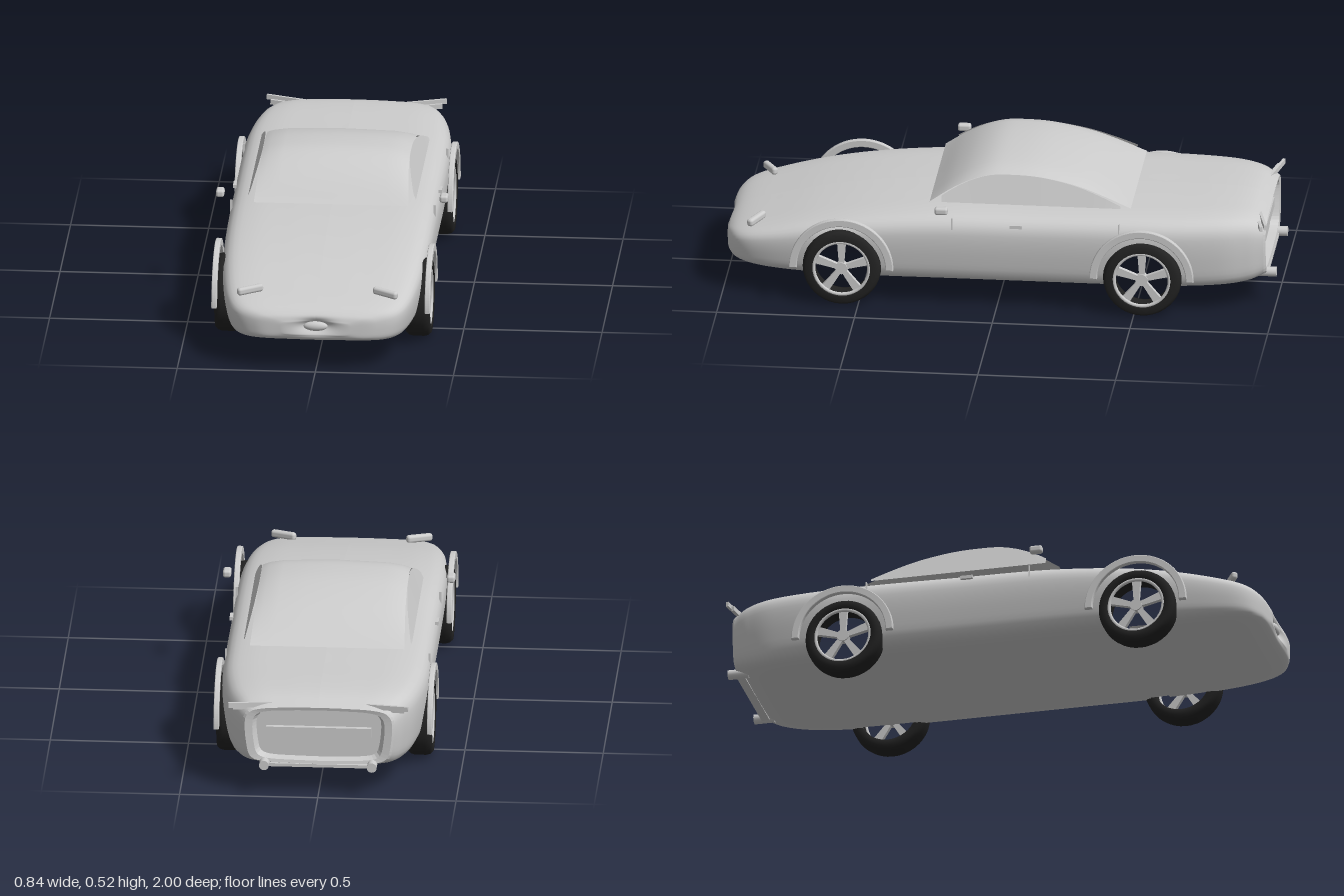
import * as THREE from 'three';
import { RoundedBoxGeometry } from 'three/addons/geometries/RoundedBoxGeometry.js';

const WHEEL_Z = [0.56, -0.53], WHEEL_Y = 0.142;

// Skin a list of equal-length point rows; skip() leaves out quads by their centre
function skin(rows, skip) {
  const n = rows[0].length, pos = rows.flat().flatMap(p => [p.x, p.y, p.z]), idx = [];
  const mid = new THREE.Vector3();
  for (let i = 0; i < rows.length - 1; i++) for (let j = 0; j < n - 1; j++) {
    mid.copy(rows[i][j]).add(rows[i + 1][j + 1]).multiplyScalar(0.5);
    if (skip && skip(mid)) continue;
    const a = i * n + j, d = a + n;
    idx.push(a, a + 1, d, a + 1, d + 1, d);
  }
  const g = new THREE.BufferGeometry();
  g.setAttribute('position', new THREE.Float32BufferAttribute(pos, 3));
  g.setIndex(idx);
  g.computeVertexNormals();
  return g;
}

// Normalised half section of the body, top centre to bottom centre
const half = new THREE.CatmullRomCurve3([
  [0, 1], [0.4, 0.99], [0.75, 0.965], [0.92, 0.91], [0.985, 0.81], [1, 0.68], [0.985, 0.4],
  [0.94, 0.14], [0.88, 0.07], [0.74, 0.03], [0.4, 0.01], [0, 0],
].map(([x, y]) => new THREE.Vector3(x * 1.3, y, 0))).getSpacedPoints(48);
const ringShape = [
  ...half.map(p => [p.x / 1.3, p.y]),
  ...half.slice(0, -1).reverse().map(p => [-p.x / 1.3, p.y]),
];
function section(w, yb, yt, z, scale = 1) {
  const c = (yb + yt) / 2;
  return ringShape.map(([x, y]) =>
    new THREE.Vector3(x * w * scale, c + (yb + y * (yt - yb) - c) * scale, z));
}

function bodyGeometry() {
  // z, half width, bottom, top
  const st = [
    [1, 0.12, 0.14, 0.19], [0.985, 0.22, 0.12, 0.215], [0.94, 0.295, 0.105, 0.24],
    [0.84, 0.335, 0.092, 0.268], [0.66, 0.36, 0.083, 0.31], [0.45, 0.372, 0.08, 0.342],
    [0.2, 0.375, 0.08, 0.362], [-0.1, 0.375, 0.08, 0.367], [-0.4, 0.375, 0.08, 0.372],
    [-0.62, 0.37, 0.08, 0.373], [-0.8, 0.345, 0.085, 0.373], [-0.9, 0.31, 0.095, 0.364],
    [-0.96, 0.275, 0.115, 0.34],
  ];
  const line = k => new THREE.CatmullRomCurve3(
    st.map(s => new THREE.Vector3(s[1], s[k], s[0])), false, 'catmullrom', 0.5);
  const low = line(2), high = line(3), rows = [], steps = (st.length - 1) * 10;
  for (let i = 0; i < 8; i++) rows.push(section(0.12, 0.14, 0.19, 1, i / 8));
  for (let i = 0; i <= steps; i++) {
    const b = low.getPoint(i / steps), t = high.getPoint(i / steps);
    rows.push(section(b.x, b.y, t.y, b.z));
  }
  // Dent in the nose around the badge
  for (const p of rows.flat()) if (p.z > 0.9)
    p.z -= 0.03 * Math.exp(-((p.x / 0.06) ** 2) - ((p.y - 0.172) / 0.025) ** 2);
  // Wheel openings
  return skin(rows, m => Math.abs(m.x) > 0.3 &&
    WHEEL_Z.some(z => Math.hypot(m.z - z, m.y - WHEEL_Y) < 0.122));
}

// Roof height along the cabin
const roofLine = new THREE.CatmullRomCurve3([
  [0.25, 0.375], [0.17, 0.443], [0.1, 0.487], [0.03, 0.512], [-0.05, 0.517],
  [-0.15, 0.51], [-0.28, 0.477], [-0.38, 0.432], [-0.48, 0.378],
].map(([z, y]) => new THREE.Vector3(0, y, z))).getSpacedPoints(40);
function roofRow({ y, z }) {
  const f = (y - 0.375) / 0.142, w = 0.28 - 0.013 * f;
  return [[-1, 0.031], [-0.9, 0.018], [-0.7, 0.007], [-0.35, 0.003], [0, 0],
    [0.35, 0.003], [0.7, 0.007], [0.9, 0.018], [1, 0.031]]
    .map(([x, d]) => new THREE.Vector3(x * w, y - d * f, z));
}

export function createModel() {
  const group = new THREE.Group();
  const paint = new THREE.MeshStandardMaterial({ color: 0xcccccc });
  const sheet = new THREE.MeshStandardMaterial({ color: 0xcccccc, side: THREE.DoubleSide });
  paint.name = 'light grey';
  sheet.name = 'light grey sheet';
  const rubber = new THREE.MeshStandardMaterial({ color: 0x222222 });
  rubber.name = 'black rubber';
  const add = (name, geo, mat, x = 0, y = 0, z = 0, parent = group) => {
    const m = new THREE.Mesh(geo, mat);
    m.name = name;
    m.position.set(x, y, z);
    parent.add(m);
    return m;
  };

  add('body', bodyGeometry(), paint);

  // Recessed tail panel with a crisp rim
  const tail = skin([
    section(0.275, 0.115, 0.34, -0.96), section(0.275, 0.115, 0.34, -0.968, 0.97),
    section(0.275, 0.115, 0.34, -0.965, 0.87), section(0.275, 0.115, 0.34, -0.935, 0.82),
    section(0.275, 0.115, 0.34, -0.935, 0),
  ]).toNonIndexed();
  tail.computeVertexNormals();
  add('tailPanel', tail, paint);
  add('tailBar', new THREE.BoxGeometry(0.38, 0.035, 0.02), paint, 0, 0.235, -0.942);
  add('rearLip', new THREE.BoxGeometry(0.4, 0.012, 0.03), paint, 0, 0.112, -0.955);

  // Nose badge
  const badge = add('noseBadge', new THREE.SphereGeometry(1, 24, 16), paint, 0, 0.17, 0.982);
  badge.scale.set(0.044, 0.018, 0.016);

  // Cabin roof with windscreens, and side windows below its edge
  add('cabin', skin(roofLine.map(roofRow)), sheet);
  for (const s of [-1, 1]) {
    const rows = roofLine.filter(p => p.z < 0.215 && p.z > -0.455).map(p => {
      const e = roofRow(p)[8], y = Math.max(e.y, 0.386);
      return [
        new THREE.Vector3(s * (0.302 - (y - 0.385) * 0.34), y, p.z),
        new THREE.Vector3(s * 0.304, 0.384, p.z),
      ];
    });
    add('sideWindow', skin(rows), sheet);
  }

  // Tyre and rim profiles, turned about the axle
  const tyreGeo = new THREE.LatheGeometry([
    [0.106, -0.045], [0.128, -0.045], [0.138, -0.035], [0.142, -0.02], [0.142, 0.02],
    [0.138, 0.035], [0.128, 0.045], [0.106, 0.045], [0.102, 0.03], [0.102, -0.03], [0.106, -0.045],
  ].map(p => new THREE.Vector2(...p)), 40).rotateZ(Math.PI / 2);
  const rimGeo = new THREE.TorusGeometry(0.101, 0.007, 8, 40).rotateY(Math.PI / 2);
  const hubGeo = new THREE.CylinderGeometry(0.022, 0.022, 0.03, 20).rotateZ(Math.PI / 2);
  const spokeShape = new THREE.Shape([
    [-0.009, 0.012], [0.009, 0.012], [0.016, 0.102], [-0.016, 0.102],
  ].map(p => new THREE.Vector2(...p)));
  const spokeGeo = new THREE.ExtrudeGeometry(spokeShape, { depth: 0.018, bevelEnabled: false })
    .translate(0, 0, -0.009).rotateY(Math.PI / 2);
  const arch = new THREE.Shape();
  arch.absarc(0, 0, 0.186, 0, Math.PI, false);
  arch.absarc(0, 0, 0.164, Math.PI, 0, true);
  const archGeo = new THREE.ExtrudeGeometry(arch, {
    depth: 0.012, bevelThickness: 0.004, bevelSize: 0.003, bevelSegments: 2, curveSegments: 32,
  }).translate(0, 0, -0.006).rotateY(Math.PI / 2);

  for (const s of [-1, 1]) {
    for (const z of WHEEL_Z) {
      const wheel = new THREE.Group();
      wheel.name = 'wheel';
      wheel.position.set(s * 0.345, WHEEL_Y, z);
      group.add(wheel);
      add('tyre', tyreGeo, rubber, 0, 0, 0, wheel);
      add('rim', rimGeo, paint, s * 0.035, 0, 0, wheel);
      add('hub', hubGeo, paint, s * 0.025, 0, 0, wheel);
      for (let i = 0; i < 5; i++)
        add('spoke', spokeGeo, paint, s * 0.025, 0, 0, wheel).rotation.x = i * Math.PI * 0.4;
      add('wheelArch', archGeo, paint, s * 0.386, 0.146, z);
    }

    // Lamps
    const lamp = add('headlight', new RoundedBoxGeometry(0.1, 0.028, 0.024, 3, 0.01), paint,
      s * 0.245, 0.268, 0.882);
    lamp.rotation.set(0, -s * 0.48, -s * 0.06);
    for (const [dx, y, dz] of [[0, 0.338, 0], [-0.015, 0.325, 0.018]]) {
      const plate = add('tailLight', new THREE.BoxGeometry(0.165, 0.018, 0.01), paint,
        s * (0.245 + dx), y, -0.955 + dz);
      plate.rotation.set(0, s * 0.23, s * 0.04);
    }

    // Exhaust, mirror, door handle and door seams
    add('exhaust', new THREE.CylinderGeometry(0.018, 0.018, 0.075, 20).rotateX(Math.PI / 2),
      paint, s * 0.195, 0.12, -0.9625);
    add('mirror', new RoundedBoxGeometry(0.03, 0.027, 0.048, 3, 0.009), paint, s * 0.405, 0.391, 0.195);
    add('doorHandle', new THREE.BoxGeometry(0.012, 0.012, 0.045), paint, s * 0.372, 0.326, -0.072);
    for (const z of [0.16, -0.445])
      add('doorSeam', new THREE.BoxGeometry(0.008, 0.045, 0.004), paint, s * 0.368, 0.327, z);
  }
  return group;
}
